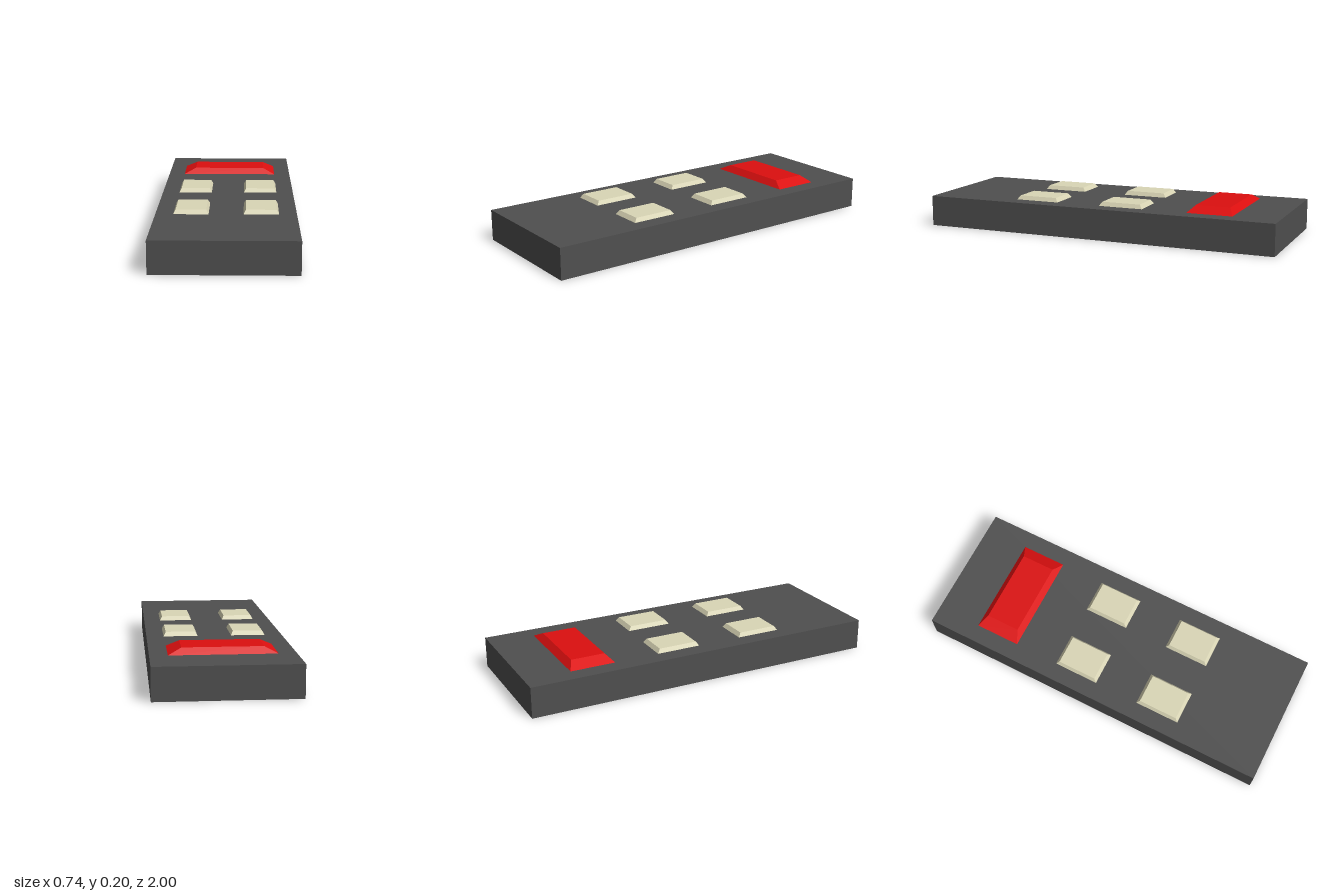
import * as THREE from 'three';

const material = (name, color) => {
  const m = new THREE.MeshStandardMaterial({ color });
  m.name = name;
  return m;
};

// Box standing on its base whose top face is inset on each side
function taperedBox(width, height, depth, insetX = 0, insetZ = 0) {
  const geometry = new THREE.BoxGeometry(width, height, depth);
  geometry.translate(0, height / 2, 0);
  const p = geometry.attributes.position;
  for (let i = 0; i < p.count; i++) {
    if (p.getY(i) > height / 2) {
      p.setX(i, p.getX(i) - Math.sign(p.getX(i)) * insetX);
      p.setZ(i, p.getZ(i) - Math.sign(p.getZ(i)) * insetZ);
    }
  }
  geometry.computeVertexNormals();
  return geometry;
}

export function createModel() {
  const group = new THREE.Group();
  group.name = 'remoteControl';
  const darkGrey = material('dark grey', 0x4f4f4f);
  const cream = material('cream', 0xdad6b6);
  const red = material('red', 0xdc0f0f);
  const bodyHeight = 0.17;

  const add = (name, geometry, mat, x, y, z) => {
    const mesh = new THREE.Mesh(geometry, mat);
    mesh.name = name;
    mesh.position.set(x, y, z);
    group.add(mesh);
  };

  // Casing
  add('body', taperedBox(0.736, bodyHeight, 2), darkGrey, 0, 0, 0);

  // Wide button near the back end
  add('wideButton', taperedBox(0.55, 0.033, 0.25, 0.068, 0.031), red, 0, bodyHeight, -0.625);

  // Two rows of small buttons
  const buttonGeometry = taperedBox(0.184, 0.022, 0.25, 0.012, 0.016);
  [['back', -0.125], ['front', 0.375]].forEach(([row, z]) => {
    [['Left', 1], ['Right', -1]].forEach(([side, s]) => {
      add(`${row}${side}Button`, buttonGeometry, cream, s * 0.183, bodyHeight, z);
    });
  });

  return group;
}
